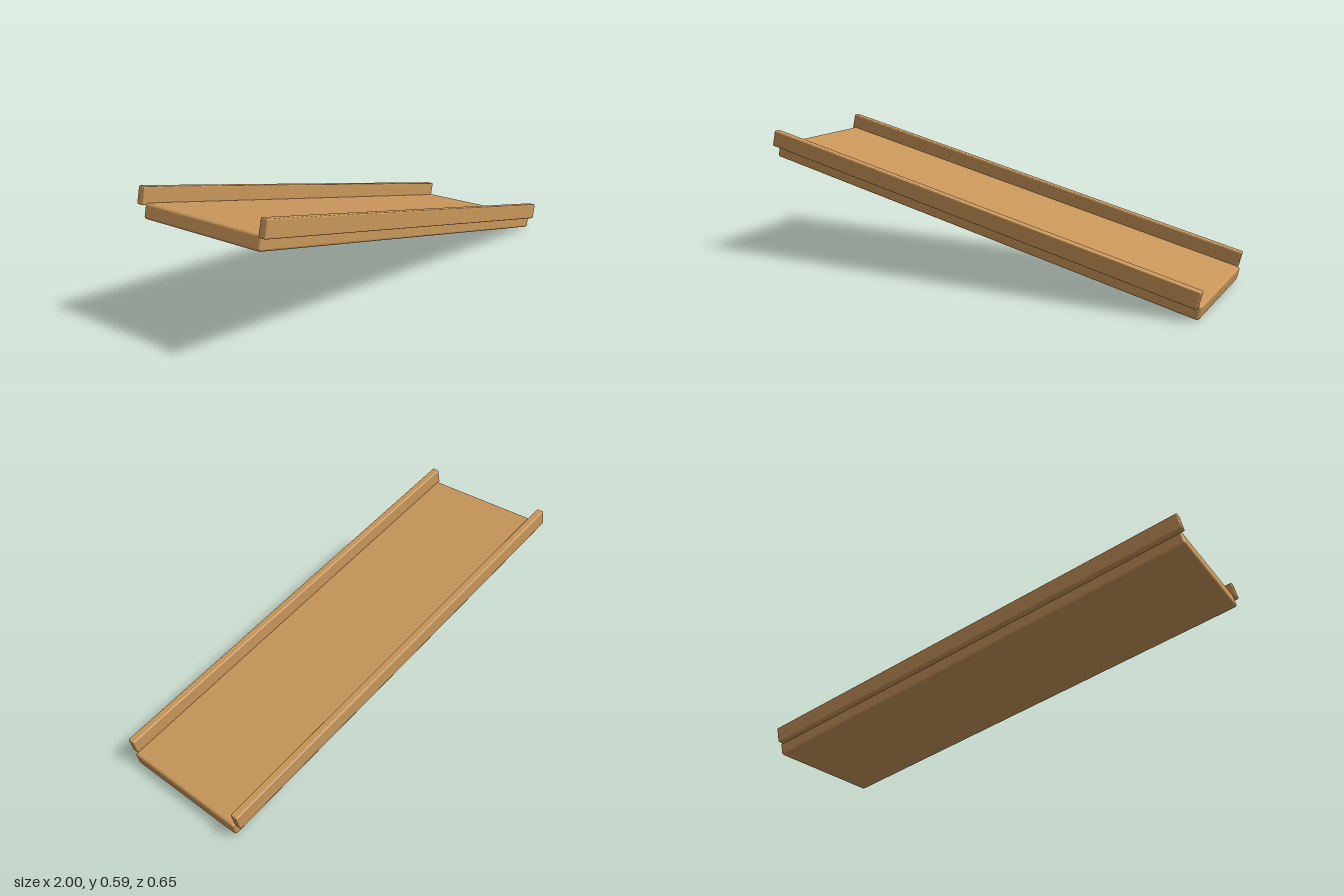
import * as THREE from 'three';
import { RoundedBoxGeometry } from 'three/addons/geometries/RoundedBoxGeometry.js';

const LENGTH = 2.04;
const SLOPE = THREE.MathUtils.degToRad(-13.38);

export function createModel() {
  const model = new THREE.Group();
  model.name = 'ramp';
  const wood = new THREE.MeshStandardMaterial({ color: 0xc8965a });
  wood.name = 'wood';

  // A rounded plank running downhill towards +x
  const plank = (name, thickness, width, radius, y, z) => {
    const mesh = new THREE.Mesh(new RoundedBoxGeometry(LENGTH, thickness, width, 3, radius), wood);
    mesh.name = name;
    mesh.position.set(0, y, z);
    mesh.rotation.z = SLOPE;
    model.add(mesh);
  };

  // Sloping deck
  plank('deck', 0.062, 0.591, 0.011, 0.268, 0);

  // Side rails, sitting over the deck edges
  plank('frontRail', 0.072, 0.034, 0.005, 0.326, 0.308);
  plank('backRail', 0.072, 0.034, 0.005, 0.326, -0.308);

  return model;
}
